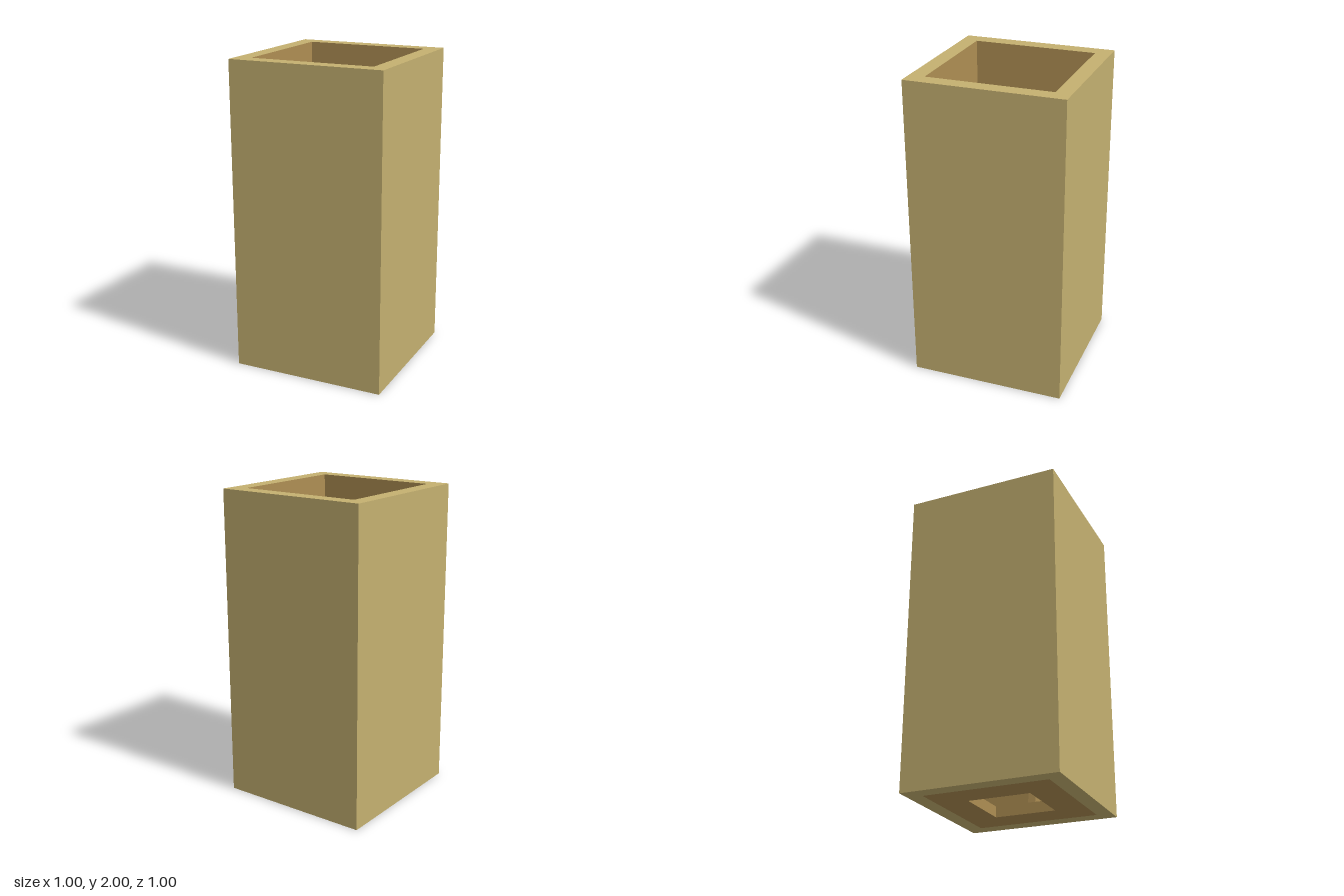
import * as THREE from 'three';

const OUTER = 0.5, INNER = 0.4, HOLE = 0.2, HEIGHT = 2, FLOOR = 0.07;

// Square shape centred on the origin, optionally with a square hole
function squareRing(half, hole) {
  const corners = (h) => [[-h, -h], [h, -h], [h, h], [-h, h]].map(([x, y]) => new THREE.Vector2(x, y));
  const shape = new THREE.Shape(corners(half));
  shape.holes.push(new THREE.Path(corners(hole).reverse()));
  return shape;
}

// Upright extrusion starting at height y
function upright(shape, y, height) {
  const geometry = new THREE.ExtrudeGeometry(shape, { depth: height, bevelEnabled: false });
  return geometry.rotateX(-Math.PI / 2).translate(0, y, 0);
}

export function createModel() {
  const model = new THREE.Group();
  const tan = new THREE.MeshStandardMaterial({ color: 0xc4b070 });
  tan.name = 'tan';
  const brown = new THREE.MeshStandardMaterial({ color: 0xae8e53 });
  brown.name = 'brown';

  const add = (name, geometry, material, parent = model) => {
    const mesh = new THREE.Mesh(geometry, material);
    mesh.name = name;
    parent.add(mesh);
    return mesh;
  };

  // Square outer casing, open at both ends
  add('casing', upright(squareRing(OUTER, INNER), 0, HEIGHT), tan);

  // Floor slab with a square opening
  add('floor', upright(squareRing(INNER, HOLE), 0, FLOOR), brown);

  // Inner lining, one sheet per wall, facing inward
  const lining = new THREE.Group();
  lining.name = 'lining';
  model.add(lining);
  for (let i = 0; i < 4; i++) {
    const sheet = new THREE.PlaneGeometry(INNER * 2, HEIGHT - FLOOR);
    sheet.translate(0, (HEIGHT + FLOOR) / 2, -INNER + 0.001).rotateY(i * Math.PI / 2);
    add('liningSheet', sheet, brown, lining);
  }

  // Steep tapering ribs against the four walls, slightly off centre
  const profile = new THREE.Shape([
    new THREE.Vector2(0.21, FLOOR),
    new THREE.Vector2(INNER, FLOOR),
    new THREE.Vector2(INNER, 1.55),
  ]);
  const ribs = new THREE.Group();
  ribs.name = 'ribs';
  model.add(ribs);
  // turn about y, and sideways shift that puts each rib in its place
  const places = [[0, 0.04], [Math.PI / 2, -0.04], [Math.PI, 0.04], [-Math.PI / 2, 0.04 * -1]];
  for (const [turn, shift] of places) {
    const rib = new THREE.ExtrudeGeometry(profile, { depth: 0.05, bevelEnabled: false });
    rib.translate(0, 0, shift - 0.025).rotateY(turn);
    add('rib', rib, brown, ribs);
  }

  return model;
}
